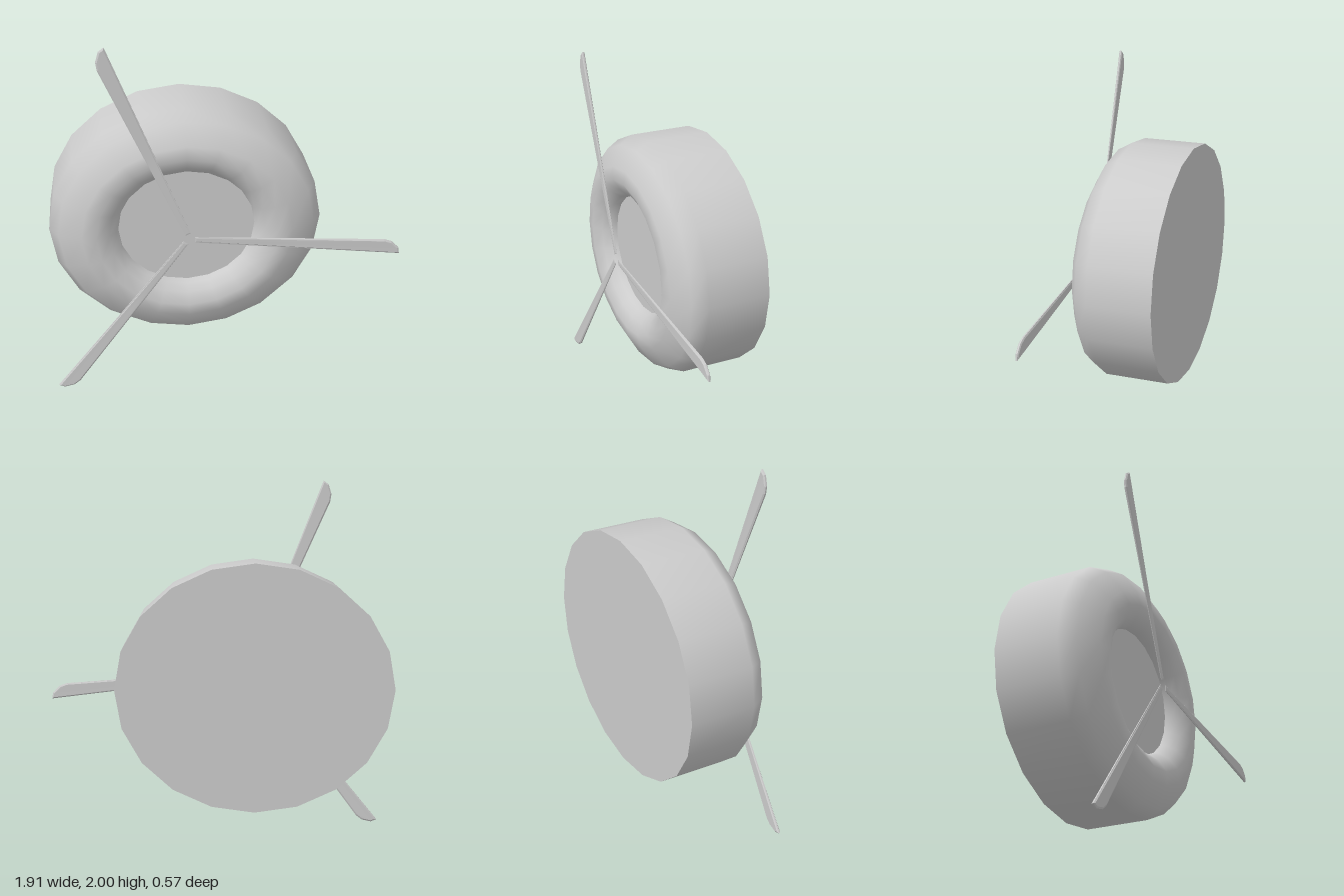
import * as THREE from 'three';

const SIDES = 20;
const CX = -0.205, CY = 0.905;   // axis of the housing
const SQUASH = 0.9;              // the housing is slightly oval

const material = new THREE.MeshStandardMaterial({ color: 0xcccccc });

// Surface of revolution about z, squashed vertically; profile is [radius, z]
function ovalLathe(name, profile) {
  const points = profile.map(([r, z]) => new THREE.Vector2(r, z));
  const geometry = new THREE.LatheGeometry(points, SIDES);
  geometry.rotateX(Math.PI / 2);
  geometry.scale(1, SQUASH, 1);
  const mesh = new THREE.Mesh(geometry, material);
  mesh.name = name;
  mesh.position.set(CX, CY, 0);
  return mesh;
}

// Thin bevelled blade along +x with one straight edge and a rounded tip corner
function bladeGeometry() {
  const shape = new THREE.Shape([
    [0.031, -0.018], [1.169, 0.001], [1.159, 0.035], [1.114, 0.069],
    [1.072, 0.078], [0.028, 0.013],
  ].map(([x, y]) => new THREE.Vector2(x, y)));
  const geometry = new THREE.ExtrudeGeometry(shape, {
    depth: 0.008, bevelEnabled: true, bevelSegments: 1,
    bevelThickness: 0.005, bevelSize: 0.008, bevelOffset: -0.008,
  });
  geometry.translate(0, 0, -0.004);
  // Thin the blade towards its root
  const p = geometry.attributes.position;
  for (let i = 0; i < p.count; i++) {
    p.setZ(i, p.getZ(i) * Math.min(1, 0.3 + p.getX(i)));
  }
  geometry.computeVertexNormals();
  return geometry;
}

export function createModel() {
  const model = new THREE.Group();
  model.name = 'ductedFan';

  // Housing: straight outer wall, rounded lip and funnel-shaped intake
  model.add(ovalLathe('housing', [
    [0.75, -0.287], [0.75, 0.07], [0.7, 0.15], [0.575, 0.214], [0.495, 0.225],
    [0.425, 0.19], [0.385, 0.15], [0.375, 0.115],
  ]));
  model.add(ovalLathe('intakeDisc', [[0.375, 0.115], [0, 0.115]]));
  model.add(ovalLathe('backPlate', [[0, -0.287], [0.75, -0.287]]));

  // Three blades in front of the intake
  const propeller = new THREE.Group();
  propeller.name = 'propeller';
  propeller.position.set(-0.203, 0.91, 0.279);
  const geometry = bladeGeometry();
  for (const degrees of [-7.9, 110.4, 229.9]) {
    const blade = new THREE.Mesh(geometry, material);
    blade.name = 'blade';
    blade.rotation.z = THREE.MathUtils.degToRad(degrees);
    propeller.add(blade);
  }
  model.add(propeller);
  return model;
}
